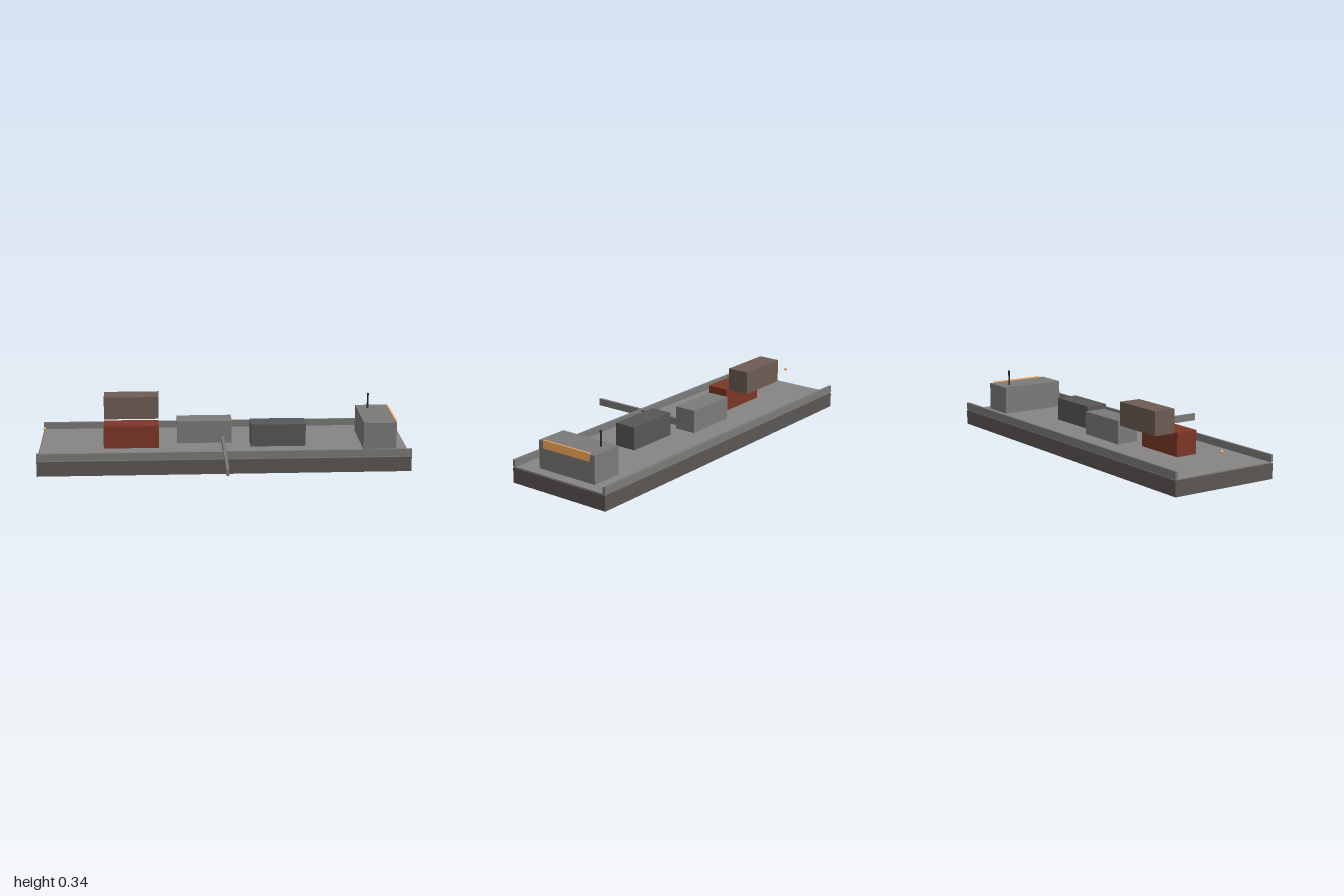
import * as THREE from 'three';

const material = (color) => new THREE.MeshStandardMaterial({ color, flatShading: true });

export function createModel() {
  const group = new THREE.Group();
  group.name = 'cargoBarge';

  const hullGrey = material(0x5a5654);
  const deckGrey = material(0x868583);
  const midGrey = material(0x7a7a78);
  const darkGrey = material(0x585656);
  const red = material(0x7c3626);
  const brown = material(0x6d5c54);
  const amber = material(0xffb060);
  const black = material(0x2c2c2e);

  const add = (name, geometry, mat, x, y, z) => {
    const mesh = new THREE.Mesh(geometry, mat);
    mesh.name = name;
    mesh.position.set(x, y, z);
    group.add(mesh);
    return mesh;
  };
  // Box placed by its centre in x and z and by its base in y
  const box = (name, mat, w, h, d, x, base, z) =>
    add(name, new THREE.BoxGeometry(w, h, d), mat, x, base + h / 2, z);

  const midZ = -0.145; // centre line of the hull
  const deckY = 0.086;

  // Hull and inset deck plate
  box('hull', hullGrey, 2, 0.08, 0.6, 0, 0, midZ);
  box('deck', deckGrey, 1.99, 0.006, 0.59, 0, 0.08, midZ);

  // Low bulwarks along both long sides
  for (const [name, side] of [['frontBulwark', 1], ['backBulwark', -1]]) {
    box(name, midGrey, 2, 0.038, 0.014, 0, deckY, midZ + side * 0.293);
  }

  // Gangway reaching out over the front side
  box('gangway', midGrey, 0.015, 0.038, 0.6, 0, deckY, 0.145);

  // Cargo containers, the brown one on the upper tier
  const containers = [
    ['redContainer', red, -0.5, deckY, -0.11],
    ['brownContainer', brown, -0.5, 0.211, -0.247],
    ['greyContainer', midGrey, -0.1, deckY, -0.19],
    ['darkContainer', darkGrey, 0.3, deckY, -0.11],
  ];
  for (const [name, mat, x, base, z] of containers) {
    box(name, mat, 0.3, 0.124, 0.12, x, base, z);
  }

  // Deckhouse with its lit window strip and mast
  box('deckhouse', midGrey, 0.178, 0.15, 0.36, 0.846, deckY, midZ);
  box('windowStrip', amber, 0.008, 0.044, 0.3, 0.934, 0.198, midZ);
  add('mast', new THREE.CylinderGeometry(0.005, 0.005, 0.086, 8), black, 0.818, 0.277, -0.266);

  // Small lamp above the opposite end
  add('lamp', new THREE.SphereGeometry(0.008, 8, 6), amber, -0.973, 0.174, -0.148);

  return group;
}
